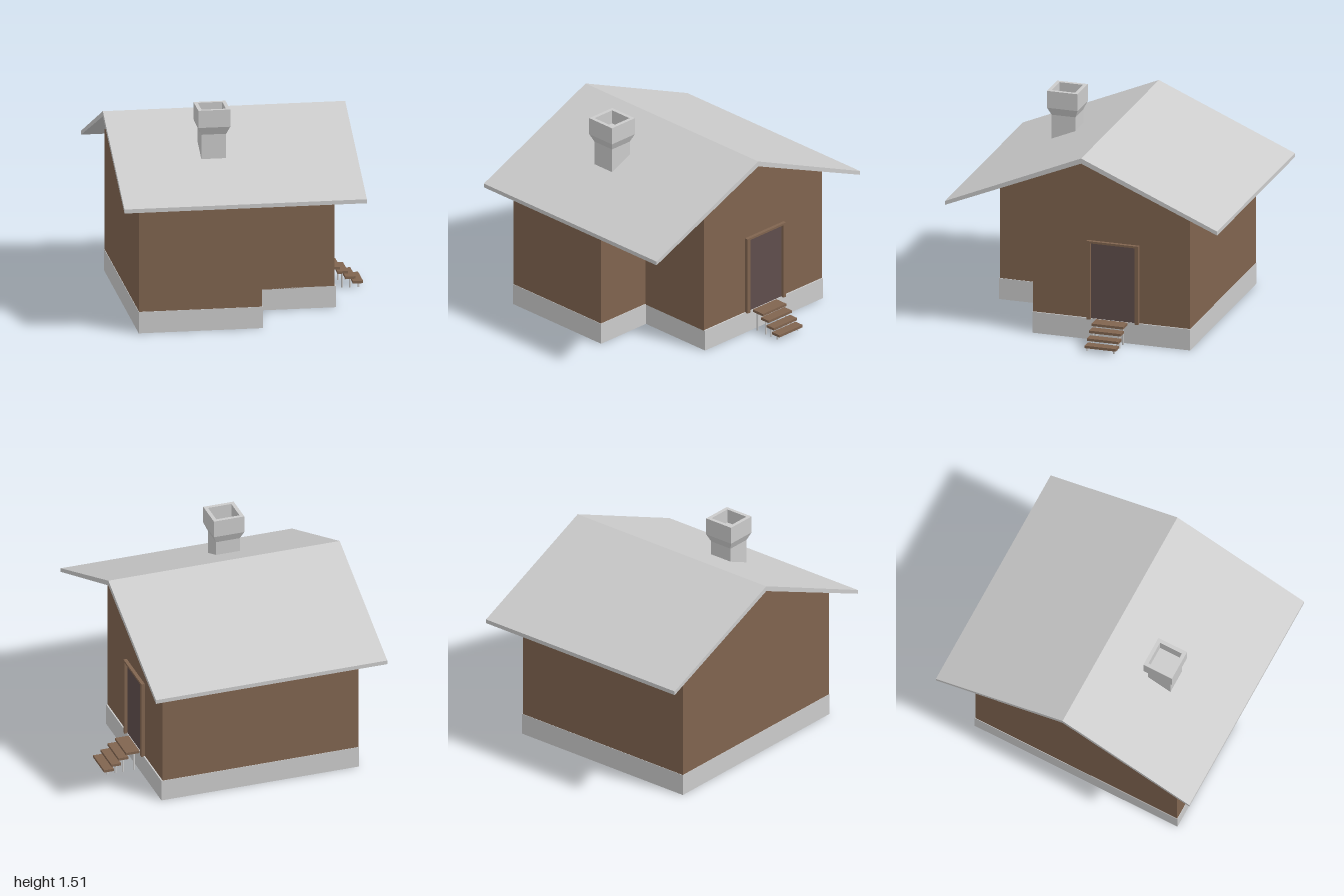
import * as THREE from 'three';

const grey = new THREE.MeshStandardMaterial({ color: 0xcccccc, flatShading: true });
const wood = new THREE.MeshStandardMaterial({ color: 0x80644f, flatShading: true });
const darkWood = new THREE.MeshStandardMaterial({ color: 0x604e4c, flatShading: true });

export function createModel() {
  const house = new THREE.Group();
  house.name = 'house';

  const add = (name, geometry, material, parent = house) => {
    const mesh = new THREE.Mesh(geometry, material);
    mesh.name = name;
    parent.add(mesh);
    return mesh;
  };

  // Box given by its limits on each axis
  const box = (name, [x0, x1], [y0, y1], [z0, z1], material, parent) =>
    add(name, new THREE.BoxGeometry(x1 - x0, y1 - y0, z1 - z0), material, parent)
      .position.set((x0 + x1) / 2, (y0 + y1) / 2, (z0 + z1) / 2);

  // Outline of [z, y] points swept along x
  const sweepX = (points, x0, x1) => {
    const shape = new THREE.Shape(points.map(([z, y]) => new THREE.Vector2(-z, y)));
    return new THREE.ExtrudeGeometry(shape, { depth: x1 - x0, bevelEnabled: false })
      .rotateY(Math.PI / 2).translate(x0, 0, 0);
  };

  // L-shaped foundation
  const plan = [[-0.8, -0.84], [0.075, -0.84], [0.075, -0.4], [0.66, -0.4], [0.66, 0.76], [-0.8, 0.76]];
  const planShape = new THREE.Shape(plan.map(([x, y]) => new THREE.Vector2(x, y)));
  add('foundation', new THREE.ExtrudeGeometry(planShape, { depth: 0.155, bevelEnabled: false })
    .rotateX(-Math.PI / 2), grey);

  // Gabled walls: a full-depth room and a shorter wing behind the corner porch
  const under = z => 1.34 - 0.419 * Math.abs(z);
  const gable = zFront => [[zFront, 0.15], [zFront, under(zFront)], [0, 1.34], [-0.757, under(0.757)], [-0.757, 0.15]];
  add('mainWalls', sweepX(gable(0.837), -0.797, 0.07), wood);
  add('wingWalls', sweepX(gable(0.4), 0.07, 0.65), wood);

  // Thin pitched roof
  add('roof', sweepX([[1, 0.921], [1, 0.95], [0, 1.378], [-1, 0.95], [-1, 0.921], [0, 1.34]], -0.925, 0.785), grey);

  // Square chimney with a flared, hollow top
  const profile = [[0.0875, 1.15], [0.0875, 1.33], [0.1125, 1.387], [0.1125, 1.512],
    [0.086, 1.512], [0.086, 1.41], [0, 1.41]];
  const chimney = new THREE.LatheGeometry(
    profile.map(([r, y]) => new THREE.Vector2(r * Math.SQRT2, y)), 4).rotateY(Math.PI / 4);
  add('chimney', chimney, grey).position.set(-0.2225, 0, 0.4375);

  // Door and its frame
  const door = new THREE.Group();
  door.name = 'door';
  house.add(door);
  box('doorPanel', [0.64, 0.655], [0.155, 0.717], [-0.357, -0.03], darkWood, door);
  box('frameJamb', [0.64, 0.675], [0.15, 0.73], [-0.03, -0.003], wood, door);
  box('frameJamb', [0.64, 0.675], [0.15, 0.73], [-0.383, -0.357], wood, door);
  box('frameHead', [0.64, 0.675], [0.715, 0.73], [-0.357, -0.03], wood, door);

  // Steps: plank x limits, top height and leg position
  const steps = new THREE.Group();
  steps.name = 'steps';
  house.add(steps);
  for (const [x0, x1, top, legX] of [
    [0.66, 0.76, 0.154, 0.695], [0.742, 0.815, 0.121, 0.776],
    [0.797, 0.867, 0.081, 0.831], [0.85, 0.922, 0.046, 0.891]]) {
    box('tread', [x0, x1], [top - 0.018, top], [-0.3, -0.07], wood, steps);
    const height = top - 0.016;
    for (const z of [-0.083, -0.279]) {
      add('stepLeg', new THREE.CylinderGeometry(0.007, 0.007, height, 12), grey, steps)
        .position.set(legX, height / 2, z);
    }
  }

  return house;
}
